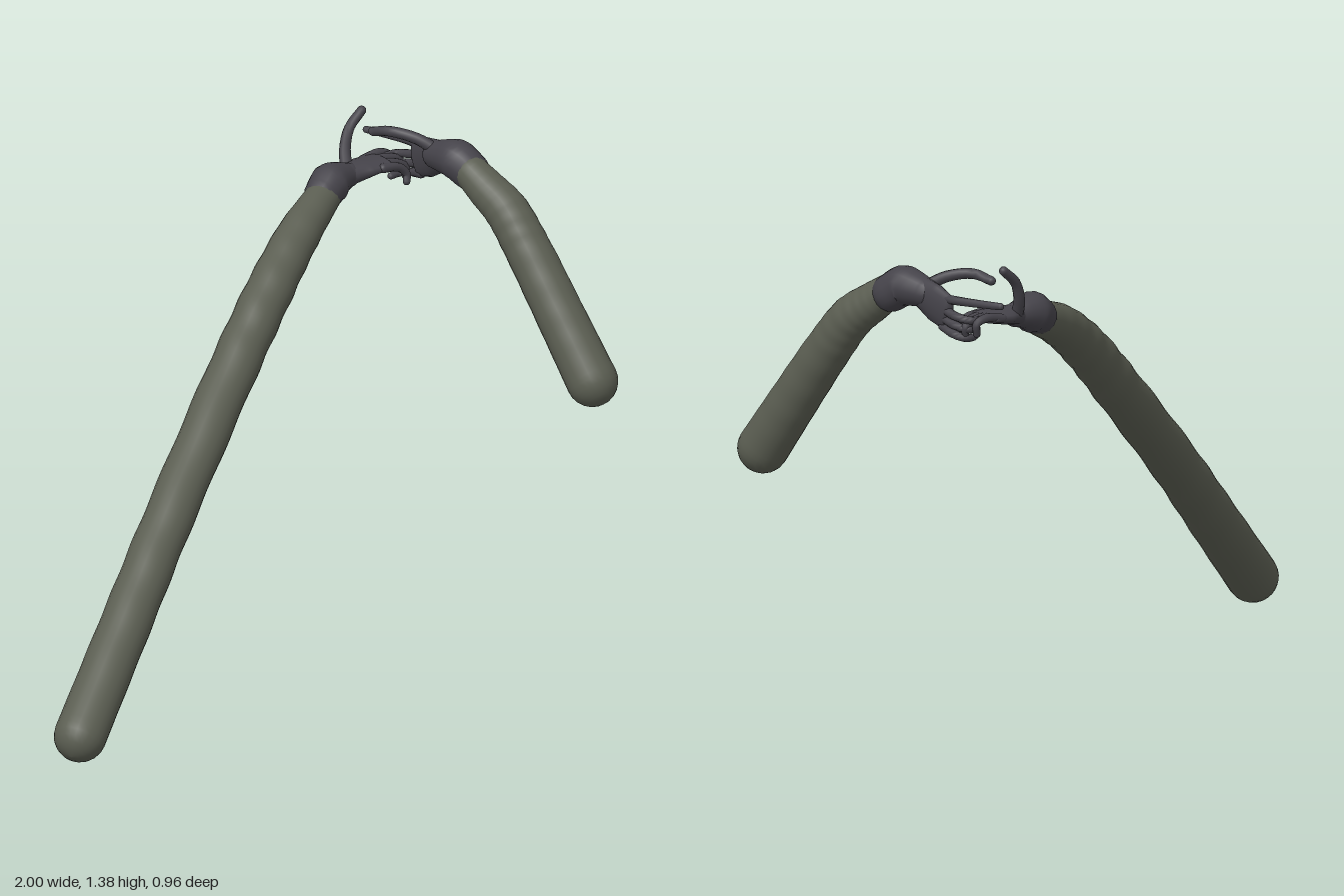
import * as THREE from 'three';

const sleeveMat = new THREE.MeshStandardMaterial({ color: 0x5b5e52 });
sleeveMat.name = 'olive sleeve';
const gloveMat = new THREE.MeshStandardMaterial({ color: 0x45434a });
gloveMat.name = 'dark glove';

const UP = new THREE.Vector3(0, 1, 0);
const FORWARD = new THREE.Vector3(0, 0, 1);

// Smooth round-ended limb through stations [x, y, z, halfWidth, halfHeight];
// the width runs along the side vector, ripple adds soft cloth folds.
function limb(name, material, stations, side, { steps = 16, sides = 16, ripple = 0 } = {}) {
  const curve = new THREE.CatmullRomCurve3(stations.map(s => new THREE.Vector3(s[0], s[1], s[2])), false, 'centripetal');
  const last = stations.length - 1;
  const sizeAt = t => {
    const i = Math.min(Math.floor(t * last), last - 1), f = t * last - i;
    const size = s => [s[3], s[4] ?? s[3]];
    const a = size(stations[i]), b = size(stations[i + 1]);
    return [0, 1].map(k => THREE.MathUtils.lerp(a[k], b[k], f));
  };
  // Rings: rounded start, body, rounded end
  const rings = [];
  const capSteps = 6;
  for (let k = 0; k < capSteps; k++) rings.push([0, -Math.PI / 2 * (1 - k / capSteps)]);
  for (let k = 0; k <= steps; k++) rings.push([k / steps, 0]);
  for (let k = 1; k <= capSteps; k++) rings.push([1, Math.PI / 2 * k / capSteps]);

  const pos = [], index = [];
  rings.forEach(([t, cap], i) => {
    const T = curve.getTangent(t);
    const W = side.clone().addScaledVector(T, -side.dot(T)).normalize();
    const H = new THREE.Vector3().crossVectors(T, W);
    const [w, h] = sizeAt(t);
    const centre = curve.getPoint(t).addScaledVector(T, Math.min(w, h) * Math.sin(cap));
    const shrink = Math.max(Math.cos(cap), 0.001);
    for (let j = 0; j < sides; j++) {
      const a = j / sides * Math.PI * 2;
      const fold = 1 + ripple * Math.sin(t * 75 + 1.5 * Math.sin(a)) * Math.sin(t * Math.PI);
      const p = centre.clone()
        .addScaledVector(W, w * shrink * fold * Math.cos(a))
        .addScaledVector(H, h * shrink * fold * Math.sin(a));
      pos.push(p.x, p.y, p.z);
      if (i < rings.length - 1) {
        const n = (j + 1) % sides, r = i * sides, s = r + sides;
        index.push(r + j, r + n, s + j, r + n, s + n, s + j);
      }
    }
  });
  const geo = new THREE.BufferGeometry();
  geo.setAttribute('position', new THREE.Float32BufferAttribute(pos, 3));
  geo.setIndex(index);
  geo.computeVertexNormals();
  const mesh = new THREE.Mesh(geo, material);
  mesh.name = name;
  return mesh;
}

// Finger tapering along its joints
function finger(name, joints, r = 0.014) {
  const stations = joints.map((p, i) => [...p, r * (1 - 0.25 * i / (joints.length - 1))]);
  return limb(name, gloveMat, stations, new THREE.Vector3(0.3, 0.5, 0.8), { steps: 12, sides: 10 });
}

function arm(name, parts) {
  const g = new THREE.Group();
  g.name = name;
  g.add(...parts);
  return g;
}

export function createModel() {
  const model = new THREE.Group();
  model.name = 'pairOfArms';

  // Long right arm, reaching across with the palm level
  const rightFingers = [0, 1, 2, 3].map(i => {
    const z = -0.4 + i * 0.031;
    const reach = [0.84, 0.855, 0.85, 0.83][i];
    return finger('rightFinger' + (i + 1), [
      [0.73, 1.225, z],
      [0.785, 1.235 - i * 0.006, z + 0.002],
      [reach - 0.02, 1.222 - i * 0.01, z + 0.006],
      [reach - 0.025, 1.19 - i * 0.006, z + 0.012],
    ]);
  });
  model.add(arm('rightArm', [
    limb('rightSleeve', sleeveMat, [
      [-0.925, 0.076, 0.405, 0.075], [-0.66, 0.305, 0.27, 0.073], [-0.4, 0.53, 0.137, 0.071],
      [0, 0.855, -0.063, 0.07], [0.2, 1.015, -0.155, 0.068], [0.37, 1.12, -0.24, 0.062],
      [0.53, 1.185, -0.322, 0.05],
    ], UP, { steps: 100, sides: 24, ripple: 0.025 }),
    limb('rightCuff', gloveMat, [
      [0.525, 1.188, -0.322, 0.054], [0.565, 1.208, -0.338, 0.06],
      [0.6, 1.213, -0.346, 0.048], [0.635, 1.213, -0.35, 0.036],
    ], UP),
    limb('rightPalm', gloveMat, [
      [0.63, 1.212, -0.35, 0.035, 0.032], [0.69, 1.22, -0.356, 0.055, 0.025], [0.755, 1.226, -0.354, 0.06, 0.017],
    ], FORWARD),
    finger('rightThumb', [
      [0.655, 1.22, -0.38], [0.667, 1.27, -0.402], [0.69, 1.325, -0.412], [0.738, 1.367, -0.416],
    ], 0.018),
    ...rightFingers,
  ]));

  // Short left arm, bent forward with the palm upright
  const leftFingers = [0, 1, 2].map(i => {
    const y = 1.25 - i * 0.027;
    return finger('leftFinger' + (i + 2), [
      [0.838, y, -0.27],
      [0.845, y - 0.012, -0.325],
      [0.83, y - 0.02, -0.375 + i * 0.008],
      [0.797, y - 0.022, -0.38 + i * 0.012],
    ]);
  });
  model.add(arm('leftArm', [
    limb('leftSleeve', sleeveMat, [
      [0.925, 0.739, 0.402, 0.074], [0.907, 0.9, 0.285, 0.07], [0.888, 1.08, 0.15, 0.066],
      [0.875, 1.17, 0.075, 0.063], [0.857, 1.22, 0.01, 0.057], [0.843, 1.26, -0.045, 0.05],
    ], UP, { steps: 60, sides: 24, ripple: 0.01 }),
    limb('leftCuff', gloveMat, [
      [0.848, 1.26, -0.06, 0.056], [0.836, 1.284, -0.1, 0.059],
      [0.832, 1.283, -0.14, 0.052], [0.828, 1.278, -0.185, 0.042],
    ], UP),
    limb('leftPalm', gloveMat, [
      [0.828, 1.278, -0.17, 0.047, 0.034], [0.834, 1.258, -0.23, 0.058, 0.025], [0.838, 1.24, -0.285, 0.055, 0.018],
    ], UP),
    finger('leftIndexFinger', [
      [0.836, 1.277, -0.26], [0.838, 1.28, -0.32], [0.822, 1.281, -0.39], [0.798, 1.282, -0.47],
    ]),
    finger('leftThumb', [
      [0.822, 1.295, -0.18], [0.785, 1.325, -0.225], [0.742, 1.338, -0.29], [0.727, 1.325, -0.35],
    ], 0.018),
    ...leftFingers,
  ]));

  return model;
}
